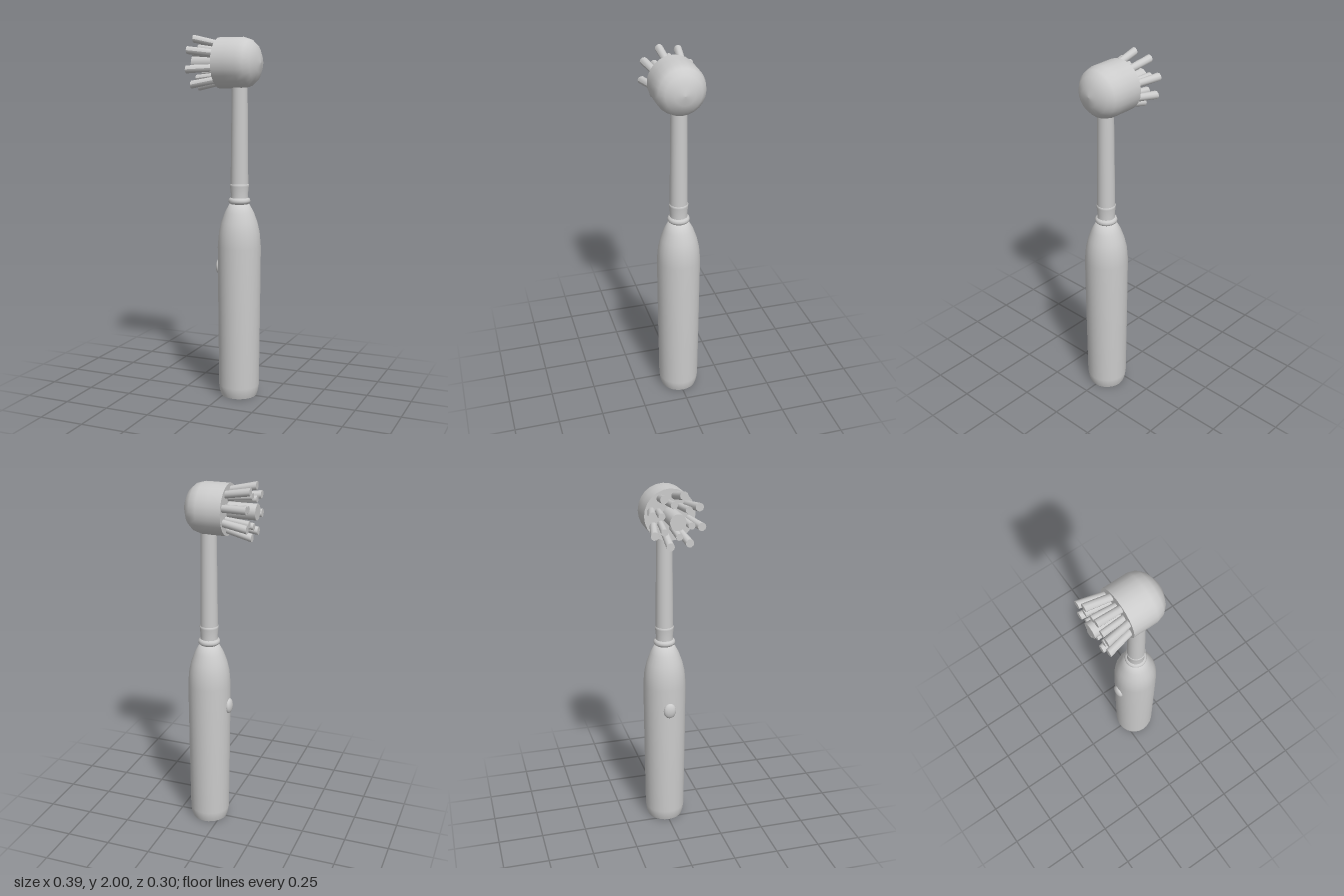
import * as THREE from 'three';

const AXIS_X = 0.072; // handle axis
const HEAD_Y = 1.849; // height of the brush head axis

export function createModel() {
  const model = new THREE.Group();
  model.name = 'electricBrush';
  const material = new THREE.MeshStandardMaterial({ color: 0xcccccc, side: THREE.DoubleSide });

  const add = (name, geometry, x = 0, y = 0, z = 0, parent = model) => {
    const mesh = new THREE.Mesh(geometry, material);
    mesh.name = name;
    mesh.position.set(x, y, z);
    parent.add(mesh);
    return mesh;
  };
  const lathe = (points, segments) =>
    new THREE.LatheGeometry(points.map(([r, y]) => new THREE.Vector2(r, y)), segments);

  // Handle: closed flat base, slim body and rounded shoulder
  add('handleBase', new THREE.CircleGeometry(0.1, 24).rotateX(Math.PI / 2), AXIS_X);
  add('handle', lathe([
    [0.1, 0], [0.108, 0.025], [0.113, 0.06], [0.117, 0.45], [0.12, 0.85],
    [0.113, 0.93], [0.1, 0.985], [0.08, 1.04], [0.055, 1.085], [0, 1.1],
  ], 24), AXIS_X);

  // Power button on the brush side
  add('button', new THREE.SphereGeometry(1, 16, 12).scale(0.02, 0.045, 0.036), -0.045, 0.728, 0);

  // Collar, waisted sleeve and tapering neck
  add('collarRing', new THREE.TorusGeometry(0.043, 0.018, 10, 24).rotateX(Math.PI / 2), AXIS_X, 1.104, 0);
  add('sleeve', lathe([[0.051, 1.09], [0.047, 1.14], [0.052, 1.185], [0.052, 1.195], [0.046, 1.2]], 24), AXIS_X);
  add('neck', new THREE.CylinderGeometry(0.043, 0.049, 0.56, 24), AXIS_X, 1.47, 0);

  // Brush head: built along +x with a domed back
  const head = new THREE.Group();
  head.name = 'brushHead';
  head.position.y = HEAD_Y;
  model.add(head);
  add('headShell', lathe([
    [0.137, -0.042], [0.137, 0.03], [0.137, 0.095], [0.125, 0.135],
    [0.098, 0.165], [0.053, 0.187], [0, 0.195],
  ], 24).rotateZ(-Math.PI / 2), 0, 0, 0, head);
  add('headFace', new THREE.CircleGeometry(0.137, 24).rotateY(-Math.PI / 2), -0.042, 0, 0, head);

  // Central post
  add('centralPost', new THREE.CylinderGeometry(0.043, 0.043, 0.16, 16).rotateZ(Math.PI / 2), -0.118, 0, 0, head);

  // Bristles fan outwards, each sheared so that its end stays flat
  const bristleRing = (name, count, startDeg, baseR, tipR, thickness, tipX) => {
    const length = -0.03 - tipX;
    for (let i = 0; i < count; i++) {
      const a = THREE.MathUtils.degToRad(startDeg + (i * 360) / count);
      const geometry = new THREE.CylinderGeometry(thickness, thickness * 0.9, length, 10)
        .rotateZ(Math.PI / 2).translate(-0.03 - length / 2, 0, 0);
      const p = geometry.attributes.position;
      for (let k = 0; k < p.count; k++) {
        const t = (-0.03 - p.getX(k)) / length;
        const r = baseR + (tipR - baseR) * t;
        p.setY(k, p.getY(k) + Math.sin(a) * r);
        p.setZ(k, p.getZ(k) + Math.cos(a) * r);
      }
      geometry.computeVertexNormals();
      add(name, geometry, 0, 0, 0, head);
    }
  };
  bristleRing('outerBristle', 8, 30, 0.1, 0.134, 0.022, -0.182);
  bristleRing('innerBristle', 6, 40, 0.065, 0.083, 0.019, -0.175);

  return model;
}
